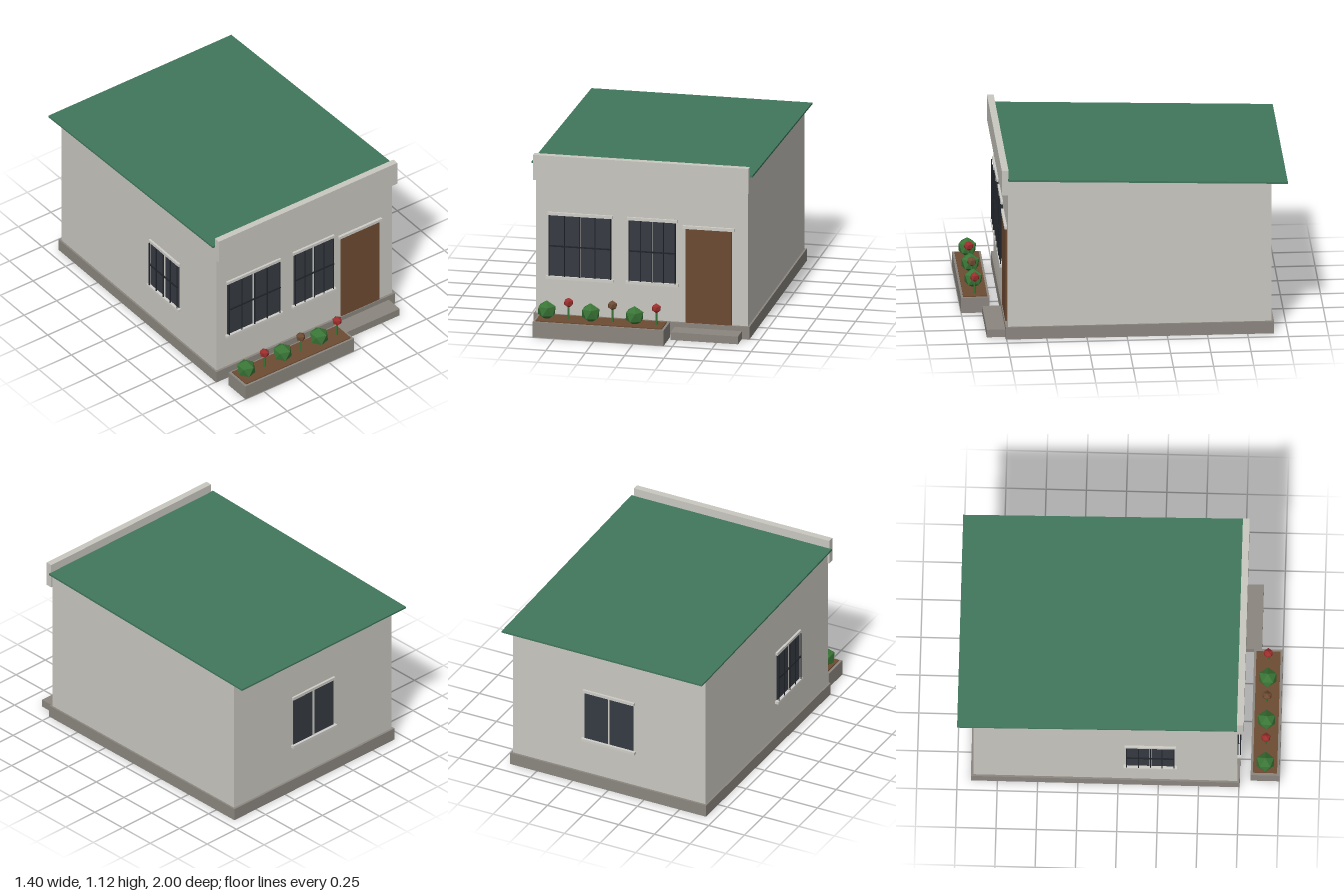
import * as THREE from 'three';

const mat = (name, color) => Object.assign(new THREE.MeshStandardMaterial({ color }), { name });

export function createModel() {
  const model = new THREE.Group();
  model.name = 'house';

  const wall = mat('wall plaster', 0xc9c7c0);
  const trim = mat('pale trim', 0xcfcdc7);
  const stone = mat('stone', 0x8b867f);
  const roofGreen = mat('roof green', 0x40775b);
  const wood = mat('brown', 0x6d4b32);
  const glass = mat('dark glass', 0x363b42);
  const iron = mat('iron', 0x20242a);
  const leaf = mat('leaf green', 0x3a7536);
  const red = mat('flower red', 0x9c2e2c);
  for (const m of [leaf, red, wood]) m.flatShading = true;

  const add = (parent, name, geo, material) => {
    const mesh = new THREE.Mesh(geo, material);
    mesh.name = name;
    parent.add(mesh);
    return mesh;
  };
  // Box given by its extents on each axis
  const box = (parent, name, material, [x0, x1], [y0, y1], [z0, z1]) => {
    const mesh = add(parent, name, new THREE.BoxGeometry(x1 - x0, y1 - y0, z1 - z0), material);
    mesh.position.set((x0 + x1) / 2, (y0 + y1) / 2, (z0 + z1) / 2);
    return mesh;
  };
  // Side profile of [z, y] points swept across the width
  const sweep = (name, material, points, width) => {
    const shape = new THREE.Shape(points.map(([z, y]) => new THREE.Vector2(z, y)));
    const geo = new THREE.ExtrudeGeometry(shape, { depth: width, bevelEnabled: false });
    geo.translate(0, 0, -width / 2).rotateY(-Math.PI / 2);
    return add(model, name, geo, material);
  };

  // Shell
  box(model, 'foundation', stone, [-0.686, 0.686], [0, 0.08], [-0.915, 0.755]);
  sweep('walls', wall, [[-0.9, 0.04], [0.74, 0.04], [0.74, 1.051], [-0.9, 0.997]], 1.348);
  sweep('roof', roofGreen, [[-1, 0.993], [0.74, 1.05], [0.74, 1.063], [-1, 1.004]], 1.404);
  box(model, 'parapet', wall, [-0.685, 0.685], [0.954, 1.117], [0.738, 0.78]);

  // Window facing +z locally, with its wall plane at z = 0
  const makeWindow = (name, width, y0, y1, grille) => {
    const g = new THREE.Group();
    g.name = name;
    const h = width / 2, mid = (y0 + y1) / 2;
    box(g, 'pane', glass, [-h, h], [y0, y1], [-0.004, 0.005]);
    box(g, 'mullion', trim, [-0.006, 0.006], [y0, y1], [0, 0.008]);
    box(g, 'lintel', trim, [-h - 0.009, h + 0.009], [y1, y1 + 0.019], [-0.004, 0.014]);
    box(g, 'sill', trim, [-h - 0.017, h + 0.017], [y0 - 0.018, y0], [-0.004, 0.023]);
    if (grille) {
      for (let i = 0; i < 5; i++) {
        const x = -h + 0.003 + (i / 4) * (width - 0.006);
        box(g, 'grilleBar', iron, [x - 0.003, x + 0.003], [y0, y1], [0.014, 0.02]);
      }
      box(g, 'grilleCrossbar', iron, [-h, h], [mid - 0.004, mid + 0.004], [0.013, 0.021]);
    }
    model.add(g);
    return g;
  };
  makeWindow('wideFrontWindow', 0.396, 0.328, 0.723, true).position.set(-0.393, 0, 0.74);
  makeWindow('narrowFrontWindow', 0.298, 0.328, 0.723, true).position.set(0.066, 0, 0.74);
  const side = makeWindow('sideWindow', 0.3, 0.328, 0.657, true);
  side.position.set(-0.674, 0, 0.2);
  side.rotation.y = -Math.PI / 2;
  const back = makeWindow('backWindow', 0.34, 0.328, 0.657, false);
  back.position.set(0, 0, -0.9);
  back.rotation.y = Math.PI;

  // Door and step
  box(model, 'door', wood, [0.279, 0.571], [0.08, 0.692], [0.73, 0.75]);
  box(model, 'doorLintel', trim, [0.26, 0.588], [0.692, 0.711], [0.736, 0.757]);
  box(model, 'step', stone, [0.21, 0.638], [0, 0.05], [0.75, 0.87]);

  // Planter with alternating bushes and flowers
  const planter = new THREE.Group();
  planter.name = 'planter';
  model.add(planter);
  box(planter, 'planterBox', stone, [-0.64, 0.194], [0, 0.1], [0.822, 1]);
  box(planter, 'soil', wood, [-0.624, 0.178], [0.09, 0.106], [0.836, 0.986]);

  // Faceted ball with one corner pointing straight up
  const ball = (r) => new THREE.IcosahedronGeometry(r, 0)
    .rotateZ(Math.atan(2 / (1 + Math.sqrt(5)))).rotateY(Math.PI);
  [red, wood, red].forEach((petal, i) => {
    const x = -0.569 + i * 0.279;
    add(planter, 'bush', ball(0.063), leaf).position.set(x, 0.155, 0.911);
    add(planter, 'stem', new THREE.CylinderGeometry(0.006, 0.006, 0.1, 6), leaf)
      .position.set(x + 0.139, 0.15, 0.911);
    add(planter, 'flower', ball(0.032), petal).position.set(x + 0.139, 0.213, 0.911);
  });

  return model;
}
